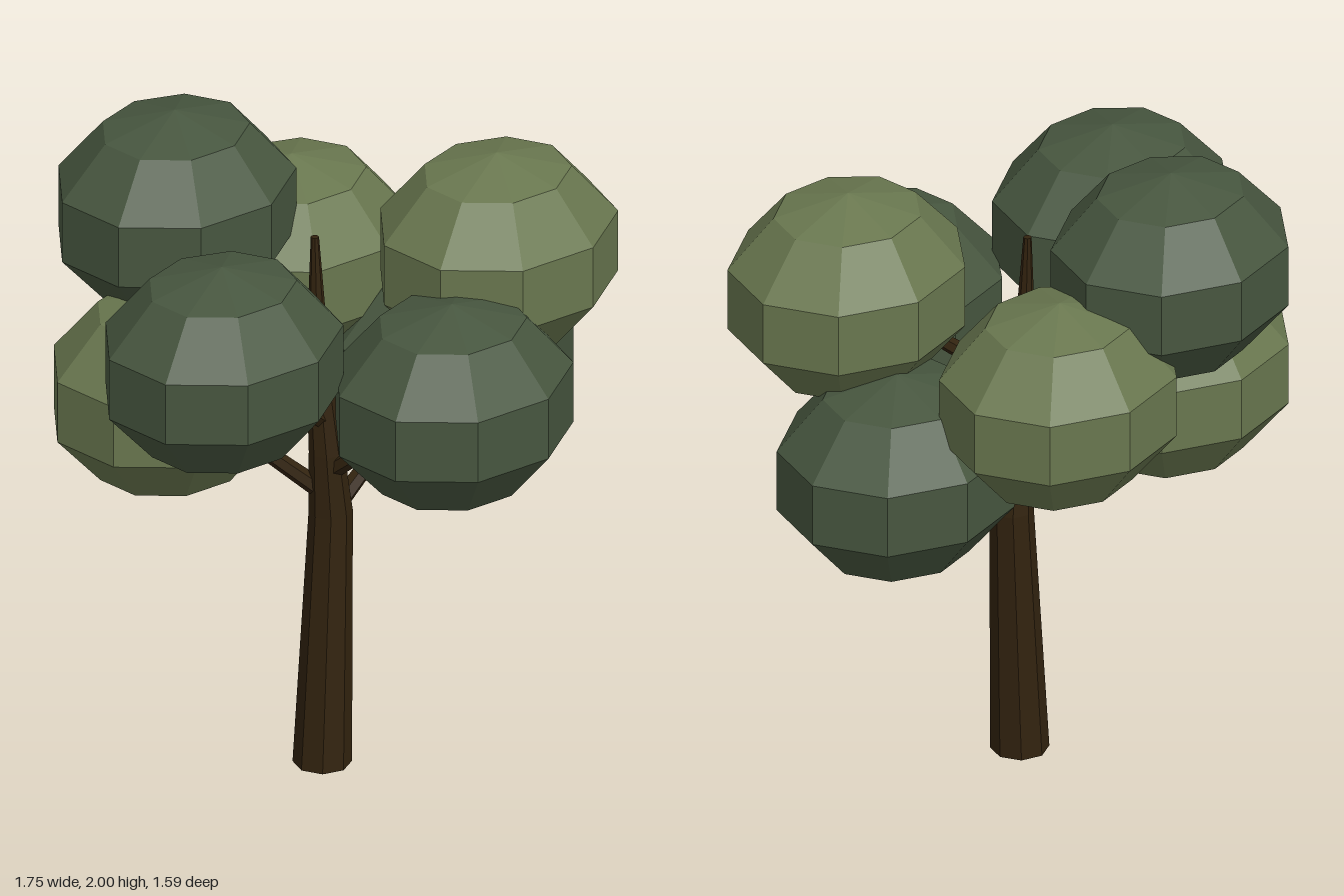
import * as THREE from 'three';

const mat = (name, color) => {
  const m = new THREE.MeshStandardMaterial({ color, flatShading: true });
  m.name = name;
  return m;
};

export function createModel() {
  const bark = mat('bark', 0x32230f);
  const darkLeaf = mat('dark leaf', 0x47563f);
  const lightLeaf = mat('light leaf', 0x69774f);

  const tree = new THREE.Group();
  tree.name = 'tree';
  const add = (name, geometry, material) => {
    const mesh = new THREE.Mesh(geometry, material);
    mesh.name = name;
    tree.add(mesh);
    return mesh;
  };

  // Trunk sections: x, y, z, radius
  const sections = [
    [-0.03, 0, -0.01, 0.086],
    [0.005, 0.8, -0.01, 0.064],
    [-0.013, 1.0, -0.01, 0.051],
    [-0.028, 1.3, -0.03, 0.034],
    [-0.03, 1.69, -0.04, 0.012],
  ];
  const trunk = new THREE.CylinderGeometry(1, 1, sections.length - 1, 8, sections.length - 1);
  const p = trunk.attributes.position;
  for (let i = 0; i < p.count; i++) {
    const [x, y, z, r] = sections[Math.round(p.getY(i) + (sections.length - 1) / 2)];
    p.setXYZ(i, x + p.getX(i) * r, y, z + p.getZ(i) * r);
  }
  add('trunk', trunk, bark);

  // Point on the trunk axis at a given height
  const axisAt = (y) => {
    const i = sections.findIndex((s) => s[1] > y);
    const a = new THREE.Vector3(...sections[i - 1]);
    const b = new THREE.Vector3(...sections[i]);
    return a.lerp(b, (y - a.y) / (b.y - a.y));
  };

  // Leaf clumps: name, centre, material, height where the branch leaves the trunk
  const clumps = [
    ['front', [0.02, 1.322, 0.465], darkLeaf, 0.93],
    ['right', [-0.53, 1.503, 0.073], darkLeaf, 1.1],
    ['back', [-0.17, 1.688, -0.47], darkLeaf, 1.3],
    ['frontLeft', [0.414, 1.597, 0.26], lightLeaf, 1.2],
    ['backLeft', [0.253, 1.412, -0.413], lightLeaf, 1.02],
    ['lowerLeft', [0.505, 1.135, -0.01], darkLeaf, 0.79],
    ['lowerRight', [-0.356, 1.23, -0.307], lightLeaf, 0.85],
  ];
  const ball = new THREE.SphereGeometry(1, 9, 5, Math.PI);
  ball.scale(0.39, 0.312, 0.35);

  for (const [name, centre, leaf, y] of clumps) {
    const end = new THREE.Vector3(...centre);
    add(name + 'Foliage', ball, leaf).position.copy(end);

    // Branch from the trunk into the clump
    const start = axisAt(y);
    const dir = end.clone().sub(start);
    const geo = new THREE.CylinderGeometry(0.015, 0.03, dir.length(), 6);
    const branch = add(name + 'Branch', geo, bark);
    branch.position.copy(start).add(end).multiplyScalar(0.5);
    branch.quaternion.setFromUnitVectors(new THREE.Vector3(0, 1, 0), dir.normalize());
  }
  return tree;
}
